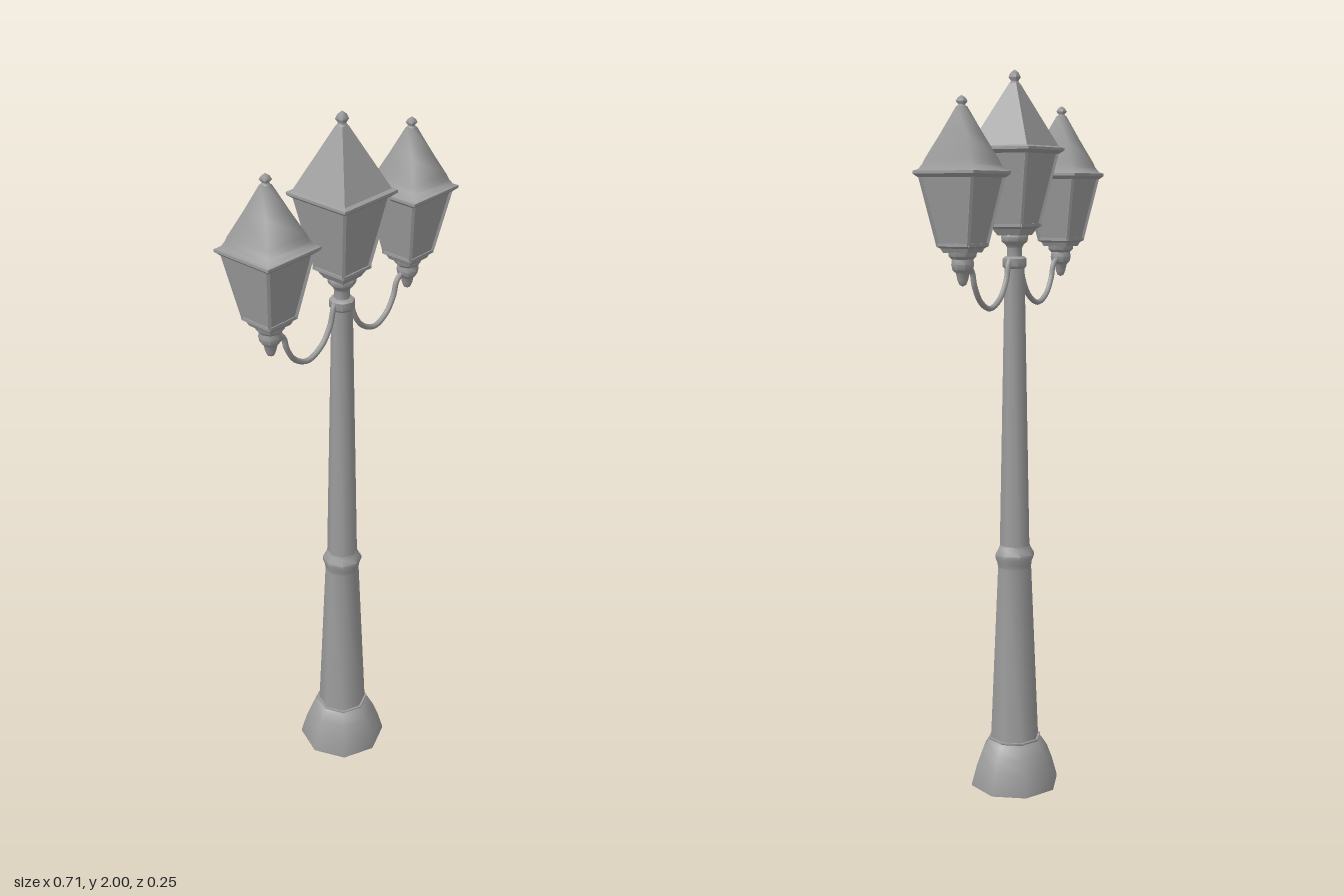
import * as THREE from 'three';
import { toCreasedNormals } from 'three/addons/utils/BufferGeometryUtils.js';

const material = new THREE.MeshStandardMaterial({ color: 0x9c9c9c });

function add(parent, name, geometry) {
  const mesh = new THREE.Mesh(geometry, material);
  mesh.name = name;
  parent.add(mesh);
  return mesh;
}

// Crease at a larger scale so that small details are not welded together
function crease(geometry, angle) {
  geometry.scale(100, 100, 100);
  return toCreasedNormals(geometry, angle).scale(0.01, 0.01, 0.01);
}

// Revolved octagonal profile, listed from the bottom up as [radius, y]
function turned(profile) {
  const points = profile.map(([r, y]) => new THREE.Vector2(r, y));
  return crease(new THREE.LatheGeometry(points, 8), 0.85);
}

// Square profile, listed from the bottom up as [half width, y]
function squared(profile, angle = 0.3) {
  const points = profile.map(([w, y]) => new THREE.Vector2(w * Math.SQRT2, y));
  return crease(new THREE.LatheGeometry(points, 4, Math.PI / 4), angle);
}

// Straight square bar between two points
function bar(a, b, width) {
  const geometry = new THREE.BoxGeometry(width, width, a.distanceTo(b));
  const m = new THREE.Matrix4().lookAt(a, b, new THREE.Vector3(0, 1, 0));
  m.setPosition(a.clone().lerp(b, 0.5));
  return geometry.applyMatrix4(m);
}

// Tapered body with corner posts; y = 0 is its lower edge
function lanternBody(group, bottom, top, height) {
  add(group, 'glassPanels', squared([[0, 0], [bottom, 0], [top, height], [0, height]]));
  for (const sx of [-1, 1]) for (const sz of [-1, 1]) {
    add(group, 'cornerPost', bar(
      new THREE.Vector3(sx * bottom, 0, sz * bottom),
      new THREE.Vector3(sx * top, height, sz * top), 0.008));
  }
}

function centreLantern() {
  const g = new THREE.Group();
  g.name = 'centreLantern';
  g.position.y = 1.59;
  lanternBody(g, 0.048, 0.085, 0.2);
  add(g, 'lowerFrame', squared([[0, -0.026], [0.034, -0.026], [0.044, -0.008], [0.053, -0.003], [0.053, 0.005], [0, 0.005]]));
  add(g, 'rim', squared([[0, 0.19], [0.087, 0.19], [0.098, 0.199], [0.098, 0.206], [0.088, 0.21], [0, 0.21]]));
  add(g, 'roof', squared([[0.088, 0.208], [0.011, 0.372]]));
  add(g, 'finial', squared([[0.011, 0.37], [0.007, 0.378], [0.012, 0.388], [0.008, 0.4], [0, 0.408]], 1.5));
  add(g, 'neck', turned([
    [0.021, -0.09], [0.021, -0.06], [0.025, -0.052], [0.036, -0.042], [0.038, -0.03], [0.034, -0.02], [0, -0.02],
  ]));
  return g;
}

function sideLantern() {
  const g = new THREE.Group();
  g.position.y = 1.545;
  lanternBody(g, 0.045, 0.077, 0.175);
  add(g, 'lowerFrame', squared([[0, -0.018], [0.036, -0.018], [0.041, -0.007], [0.049, -0.002], [0.049, 0.006], [0, 0.006]]));
  add(g, 'rim', squared([[0, 0.17], [0.08, 0.17], [0.09, 0.179], [0.09, 0.186], [0, 0.186]]));
  // Flared roof with soft hips, nearly level at the eaves
  add(g, 'roof', squared([[0.089, 0.186], [0.08, 0.19], [0.072, 0.203], [0.067, 0.217], [0.039, 0.278], [0.01, 0.345]], 1.5));
  add(g, 'finial', squared([[0.01, 0.343], [0.006, 0.349], [0.011, 0.357], [0.007, 0.366], [0, 0.372]], 1.5));
  add(g, 'lowerCup', turned([
    [0, -0.104], [0.009, -0.1], [0.014, -0.088], [0.018, -0.07],
    [0.027, -0.062], [0.03, -0.048], [0.028, -0.035], [0.036, -0.028], [0.038, -0.014], [0, -0.014],
  ]));
  return g;
}

// Drooping arm from the collar to the lantern cup
function bracketArm(side) {
  const path = [
    [0.026, 1.5], [0.034, 1.485], [0.045, 1.445], [0.078, 1.398], [0.13, 1.375],
    [0.178, 1.396], [0.208, 1.44], [0.218, 1.474], [0.234, 1.488], [0.262, 1.483],
  ].map(([x, y]) => new THREE.Vector3(side * x, y, 0));
  return new THREE.TubeGeometry(new THREE.CatmullRomCurve3(path), 40, 0.0075, 8);
}

export function createModel() {
  const model = new THREE.Group();
  model.name = 'streetLamp';

  // Octagonal foot and tapered post
  add(model, 'foot', turned([
    [0, 0], [0.127, 0], [0.127, 0.006], [0.112, 0.06], [0.097, 0.1], [0.08, 0.127], [0.072, 0.134],
    [0.076, 0.137], [0.076, 0.141], [0, 0.141],
  ]));
  add(model, 'lowerPost', turned([[0.07, 0.138], [0.048, 0.645]]));
  add(model, 'postRing', turned([
    [0.048, 0.64], [0.05, 0.654], [0.056, 0.67], [0.056, 0.68], [0.047, 0.695], [0.043, 0.705],
  ]));
  add(model, 'upperPost', turned([[0.043, 0.7], [0.028, 1.48]]));
  add(model, 'collar', turned([
    [0.028, 1.475], [0.034, 1.482], [0.034, 1.502], [0.026, 1.508], [0, 1.508],
  ]));

  model.add(centreLantern());
  for (const side of [-1, 1]) {
    add(model, side > 0 ? 'leftArm' : 'rightArm', bracketArm(side));
    const lantern = sideLantern();
    lantern.name = side > 0 ? 'leftLantern' : 'rightLantern';
    lantern.position.x = side * 0.264;
    model.add(lantern);
  }
  return model;
}
